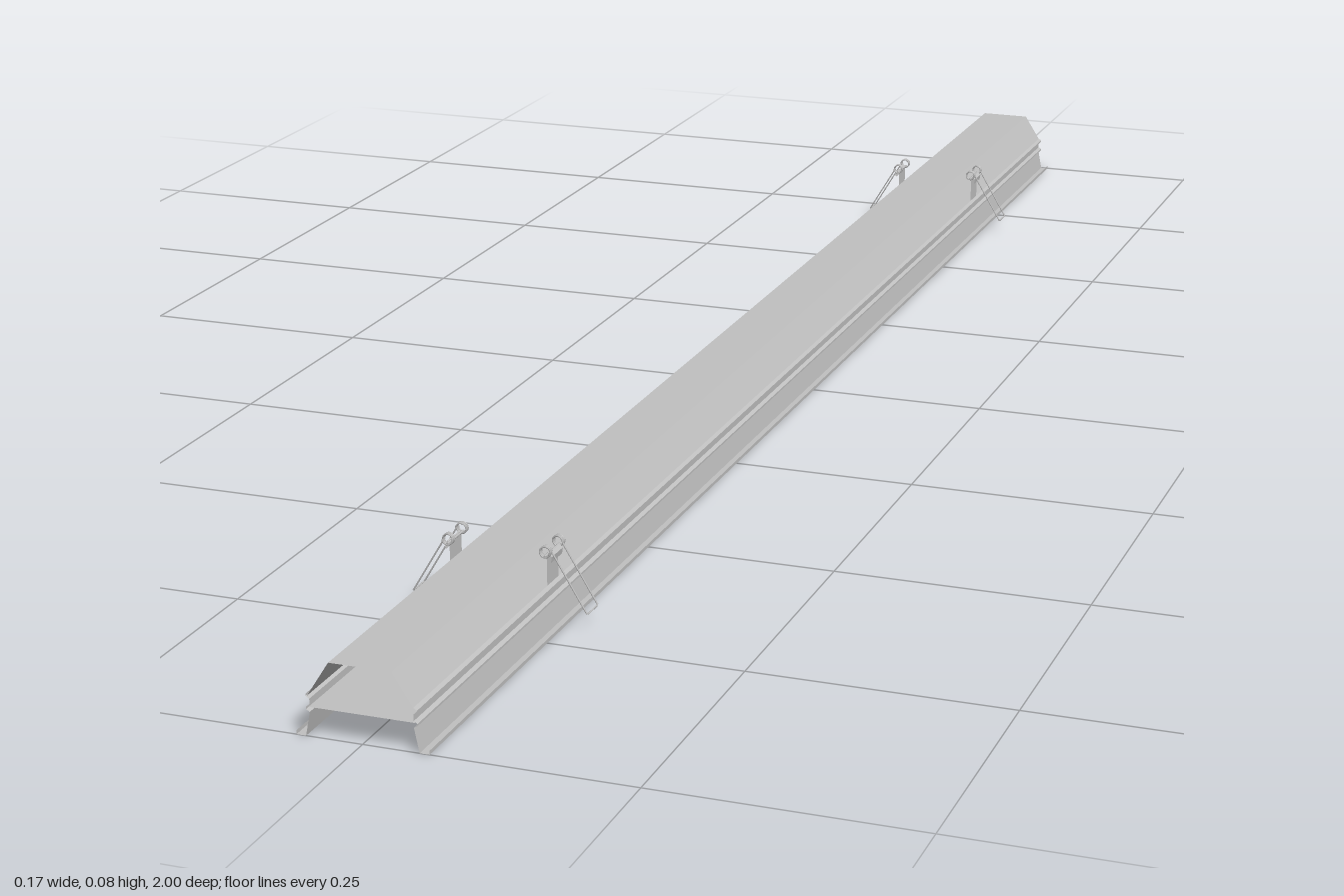
import * as THREE from 'three';

const HALF = 1; // half length of the housing

// Folded sheet: a polyline in x/y swept straight along z, one flat face per fold
function sheet(name, points, z0, z1, material) {
  const pos = [];
  for (let i = 0; i < points.length - 1; i++) {
    const [ax, ay] = points[i], [bx, by] = points[i + 1];
    pos.push(ax, ay, z0, ax, ay, z1, bx, by, z1, ax, ay, z0, bx, by, z1, bx, by, z0);
  }
  const geo = new THREE.BufferGeometry();
  geo.setAttribute('position', new THREE.Float32BufferAttribute(pos, 3));
  geo.computeVertexNormals();
  const mesh = new THREE.Mesh(geo, material);
  mesh.name = name;
  return mesh;
}

// Thin wire through a list of points
function wire(name, points, material, segments) {
  const path = new THREE.CurvePath();
  for (let i = 0; i < points.length - 1; i++) path.add(new THREE.LineCurve3(points[i], points[i + 1]));
  const mesh = new THREE.Mesh(new THREE.TubeGeometry(path, segments, 0.0008, 6), material);
  mesh.name = name;
  return mesh;
}

// Spring clip on the +x side, centred on z = 0
function springClip(metal) {
  const clip = new THREE.Group();
  clip.name = 'springClip';
  const cx = 0.048, cy = 0.0745, r = 0.005;

  // Upright tab with a folded hook that holds the spring
  clip.add(sheet('clipTab', [[0.048, 0.024], [0.048, 0.07], [0.05, 0.072], [0.053, 0.069], [0.052, 0.063]],
    -0.013, 0.013, metal));

  // Coils at both ends of the spring
  for (const s of [-1, 1]) {
    const pts = [];
    for (let i = 0; i <= 42; i++) {
      const a = (i / 14) * Math.PI * 2;
      pts.push(new THREE.Vector3(cx + r * Math.cos(a), cy + r * Math.sin(a), s * (0.012 + 0.006 * i / 42)));
    }
    const coil = new THREE.Mesh(
      new THREE.TubeGeometry(new THREE.CatmullRomCurve3(pts), 84, 0.0008, 6), metal);
    coil.name = 'springCoil';
    clip.add(coil);
  }
  // Rod through the coils
  const rod = new THREE.Mesh(new THREE.CylinderGeometry(0.0012, 0.0012, 0.036, 8).rotateX(Math.PI / 2), metal);
  rod.name = 'springRod';
  rod.position.set(cx, cy - r + 0.001, 0);
  clip.add(rod);

  // U-shaped arm reaching outward and down
  const top = [cx + r, cy - 0.001], end = [0.0865, 0.0175];
  clip.add(wire('springArm', [
    new THREE.Vector3(top[0], top[1], -0.0125),
    new THREE.Vector3(end[0], end[1], -0.0125),
    new THREE.Vector3(end[0], end[1], 0.0125),
    new THREE.Vector3(top[0], top[1], 0.0125),
  ], metal, 60));
  return clip;
}

export function createModel() {
  const metal = new THREE.MeshStandardMaterial({ color: 0xc0c0c0, side: THREE.DoubleSide });
  metal.name = 'sheetMetalGrey';
  const model = new THREE.Group();
  model.name = 'linearLightHousing';

  // Trapezoid cover
  model.add(sheet('topCover', [[-0.05, 0.037], [-0.029, 0.07], [0.029, 0.07], [0.05, 0.037]], -HALF, HALF, metal));
  // Inner tray plate
  model.add(sheet('trayPlate', [[-0.049, 0.027], [0.049, 0.027]], -HALF, HALF, metal));

  // Ribbed side walls with a flared foot and lipped flange
  const wall = [[0.048, 0.041], [0.0515, 0.039], [0.0515, 0.037], [0.048, 0.035], [0.048, 0.029],
    [0.0515, 0.027], [0.0515, 0.025], [0.048, 0.023], [0.0525, 0.0005], [0.0615, 0.0005], [0.0615, 0.004]];
  for (const s of [1, -1]) {
    const pts = wall.map(([x, y]) => [s * x, Math.max(0, y - 0.0005)]);
    model.add(sheet(s > 0 ? 'leftWall' : 'rightWall', pts, -HALF, HALF, metal));
  }

  // Two pairs of spring clips
  for (const z of [0.703, -0.677]) {
    for (const s of [1, -1]) {
      const clip = springClip(metal);
      clip.position.z = z;
      if (s < 0) clip.rotation.y = Math.PI;
      model.add(clip);
    }
  }
  return model;
}
